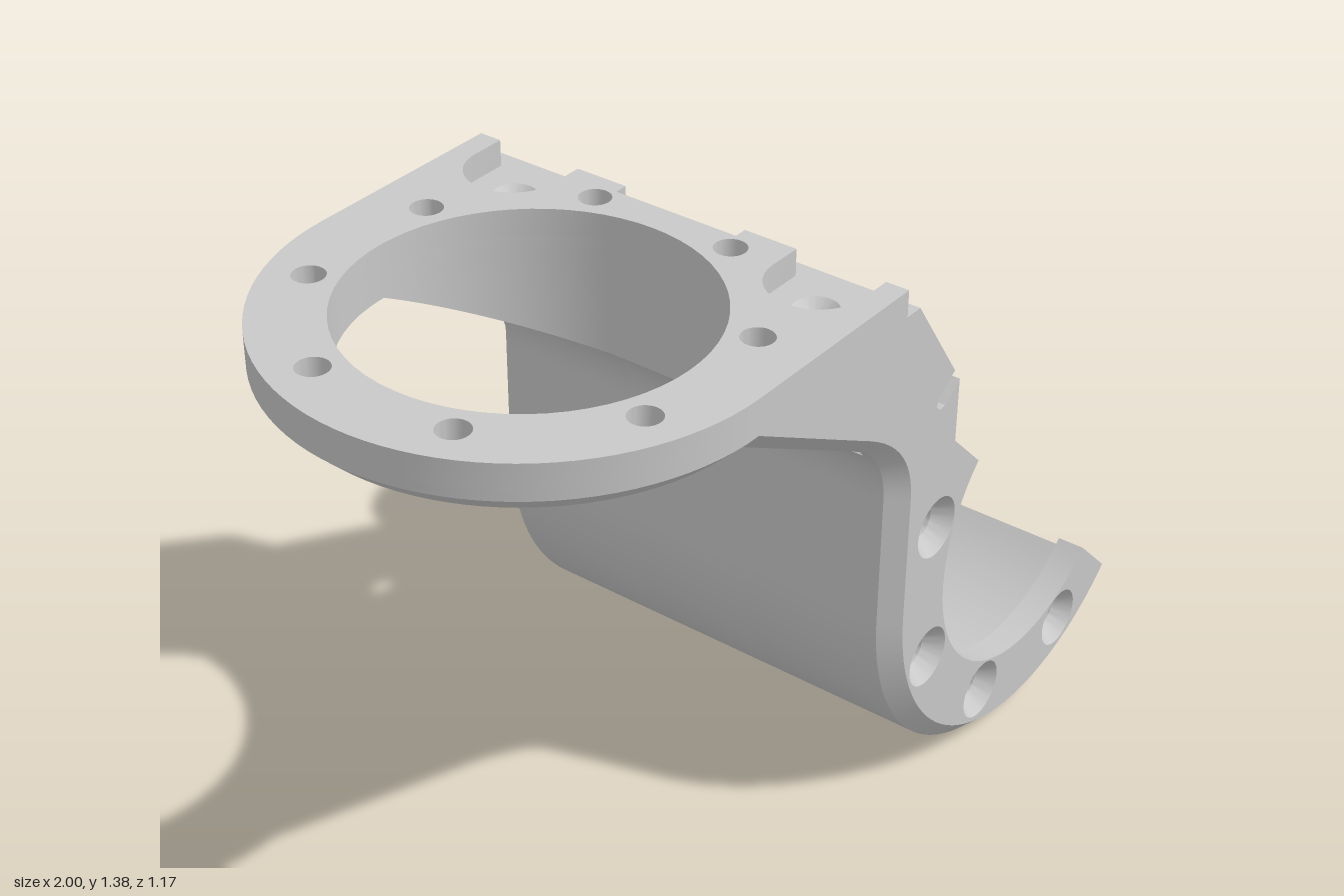
import * as THREE from 'three';
import { toCreasedNormals } from 'three/addons/utils/BufferGeometryUtils.js';

const V = (x, y) => new THREE.Vector2(x, y);
const CX = 0.6, CY = 0.565;           // axis of the curved cradle
const FX = -0.465, FZ = 0.047;        // centre of the ring flange
const HALF = 0.5375, BORE = 0.38;     // half depth of the part, radius of the flange bore
const XG = -0.1, XN = -0.01;          // end of the gussets, back of the cable notch

// Points on an arc, angles in degrees
function arc(x, y, r, a0, a1, n = 40) {
  return Array.from({ length: n + 1 }, (_, i) => {
    const a = THREE.MathUtils.degToRad(a0 + (a1 - a0) * i / n);
    return V(x + r * Math.cos(a), y + r * Math.sin(a));
  });
}
const circle = (x, y, r, n = 32) => arc(x, y, r, 0, -360, n).slice(0, n);

function finish(pos) {
  const g = new THREE.BufferGeometry();
  g.setAttribute('position', new THREE.Float32BufferAttribute(pos, 3));
  return toCreasedNormals(g, 0.5);
}

// Solid lofted through stations of matching outlines and holes, from low z to high z;
// a station's z may be a function of the point, for a sloping end
function loft(stations) {
  const pos = [];
  const put = (p, z) => pos.push(p.x, p.y, typeof z === 'function' ? z(p) : z);
  const cap = (s, flip) => {
    const all = [s.outer, ...s.holes].flat();
    for (const f of THREE.ShapeUtils.triangulateShape(s.outer.slice(), s.holes.map(h => h.slice())))
      for (const i of flip ? [f[0], f[2], f[1]] : f) put(all[i], s.z);
  };
  cap(stations[0], true);
  cap(stations[stations.length - 1], false);
  for (let k = 0; k + 1 < stations.length; k++) {
    const lo = stations[k], hi = stations[k + 1];
    const loopsLo = [lo.outer, ...lo.holes], loopsHi = [hi.outer, ...hi.holes];
    loopsLo.forEach((L, j) => {
      const H = loopsHi[j];
      for (let i = 0; i < L.length; i++) {
        const n = (i + 1) % L.length;
        put(L[i], lo.z); put(L[n], lo.z); put(H[n], hi.z);
        put(L[i], lo.z); put(H[n], hi.z); put(H[i], hi.z);
      }
    });
  }
  return finish(pos);
}

// Outer underside contour from the flange down the back and round the cradle
function contour(inset) {
  const x = 0.035 + inset;
  const bend = new THREE.QuadraticBezierCurve(V(-0.085, 1.055 + inset), V(x, 0.99 + inset * 0.4), V(x, 0.87));
  return [V(XG, 1.064 + inset), ...bend.getPoints(12), ...arc(CX, CY, 0.565 - inset, 180, 315)];
}

export function createModel() {
  const model = new THREE.Group();
  const grey = new THREE.MeshStandardMaterial({ color: 0xc8c8c8 });
  grey.name = 'lightGrey';
  const add = (name, geo) => {
    const m = new THREE.Mesh(geo, grey);
    m.name = name;
    model.add(m);
    return m;
  };
  const zf = FZ + HALF, zb = FZ - HALF, ch = 0.04;

  // Front cheek with a chamfered rim and countersunk screw holes
  const frontTop = [V(0.235, 0.93), V(0.235, 1.08), V(0.185, 1.042), V(0.165, 1.04), V(0.153, 1.052),
    V(0.157, 1.07), V(0.214, 1.11), V(0.065, 1.325), V(XG, 1.325)];
  const frontScrews = [[0.185, 0.74], [0.185, 0.4], [0.43, 0.155], [0.77, 0.155]];
  const front = (z, inset, r) => ({
    z, outer: [...contour(inset), ...arc(CX, CY, 0.37, -45, -225), ...frontTop],
    holes: frontScrews.map(([x, y]) => circle(x, y, r)),
  });
  add('frontCheek', loft([front(0.52, 0, 0.04), front(zf - ch, 0, 0.04), front(zf, ch, 0.07)]));

  // Back cheek carrying the pivot disc
  const backTop = [V(0.235, 0.93), V(0.235, 1.08), V(0.065, 1.325), V(XG, 1.325)];
  const backScrews = [[0.18, 0.565], [0.55, 0.12]];
  const back = (z, inset, r) => ({
    z, outer: [...contour(inset), ...arc(CX, CY, 0.235, -45, 135), ...backTop],
    holes: backScrews.map(([x, y]) => circle(x, y, r)),
  });
  add('backCheek', loft([back(zb, ch, 0.07), back(zb + ch, 0, 0.035), back(-0.435, 0, 0.035)]));

  // Curved shell between the cheeks, lowered in the middle for the cable notch
  const shellBack = [V(XN, 0.996), ...contour(0).filter(p => p.x > XN)];
  const cavity = [...arc(CX, CY, 0.5, -45, -180), V(0.1, 0.905), V(0.065, 0.955)];
  [[-0.435, -0.103, 1.325], [-0.103, 0.197, 1.262], [0.197, 0.52, 1.325]].forEach(([z0, z1, top]) => {
    const outer = [...shellBack, ...cavity, V(0.065, top), V(XN, top)];
    add('cradleShell', loft([{ z: z0, outer, holes: [] }, { z: z1, outer, holes: [] }]));
  });

  // Pivot boss with a blind recess
  const boss = [[0.235, 0.488], [0.235, 0.5], [0.213, 0.5], [0.213, 0.575], [0.2, 0.588], [0.152, 0.588],
    [0.135, 0.573], [0.135, 0.5], [0, 0.5]].map(([r, h]) => V(r, h));
  const bossGeo = toCreasedNormals(new THREE.LatheGeometry(boss, 64), 0.5);
  bossGeo.rotateX(-Math.PI / 2);
  add('pivotBoss', bossGeo).position.set(CX, CY, 0);

  // Ring flange, drawn in plan with s = -z and lofted upwards
  const S = -FZ;
  const bolts = Array.from({ length: 8 }, (_, k) => {
    const a = (k + 0.5) * Math.PI / 4;
    return [FX + 0.444 * Math.cos(a), S + 0.444 * Math.sin(a)];
  });
  const bore = circle(FX, S, BORE, 64);
  const pockets = [S - 0.38, S + 0.38];
  const lower = (z, r, sink, screw) => ({
    z, outer: [V(XN, S - r), V(XN, S + r), ...arc(FX, S, r, 90, 270, 48)],
    holes: [bore, ...bolts.map(([x, s]) => circle(x, s, x > XG ? 0.035 : sink)),
      ...pockets.map(s => circle(-0.06, s, screw))],
  });
  const lowerFlange = loft([lower(1.265, HALF - ch, 0.048, 0.025), lower(1.305, HALF, 0.035, 0.025),
    lower(1.325, HALF, 0.035, 0.048)]);
  add('flangeBase', lowerFlange.rotateX(-Math.PI / 2));

  // Upper flange layer with two screw pockets and the cable notch
  const pocket = s => [V(0.02, s - 0.105), ...arc(-0.06, s, 0.105, 270, 90, 24), V(0.02, s + 0.105)];
  const upperOutline = [V(0.02, S - HALF), ...pocket(pockets[0]),
    V(0.02, -0.197), V(XN, -0.197), V(XN, 0.103), V(0.02, 0.103),
    ...pocket(pockets[1]), V(0.02, S + HALF), ...arc(FX, S, HALF, 90, 270, 48)];
  const upper = z => ({ z, outer: upperOutline, holes: [bore, ...bolts.map(([x, s]) => circle(x, s, 0.035))] });
  add('flangeTop', loft([upper(1.325), upper(1.385)]).rotateX(-Math.PI / 2));

  // Neck between flange and shell, pierced by the two inner bolt holes
  const boreAngle = THREE.MathUtils.radToDeg(Math.acos((XG - FX) / BORE));
  const neckOutline = [V(XN, -0.52), V(XN, 0.435), V(XG, 0.435),
    ...arc(FX, S, BORE, boreAngle, -boreAngle, 12), V(XG, -0.52)];
  const neck = z => ({
    z, outer: neckOutline, holes: [bolts[0], bolts[7]].map(([x, s]) => circle(x, s, 0.035)),
  });
  const neckGeo = loft([neck(p => 1.064 - 0.755 * (p.x - XG)), neck(1.265)]);
  add('neck', neckGeo.rotateX(-Math.PI / 2));

  // Sloping gussets under the flange, hollowed by the bore
  const endAngle = THREE.MathUtils.degToRad(boreAngle);
  for (const side of [1, -1]) {
    const N = 32, pos = [];
    const ring = i => {
      const a = THREE.MathUtils.lerp(Math.PI / 2, endAngle, i / N);
      const x = FX + BORE * Math.cos(a), zi = BORE * Math.sin(a), g = 1.265 - 0.5526 * (x - FX);
      return [[zi, 1.32], [zi, g], [HALF - ch, g], [HALF, g + ch], [HALF, 1.32]]
        .map(([z, y]) => [x, y, FZ + side * z]);
    };
    for (let i = 0; i < N; i++) {
      const A = ring(i), B = ring(i + 1);
      for (let j = 0; j < 4; j++) {
        const quad = [A[j], B[j], B[j + 1], A[j], B[j + 1], A[j + 1]];
        if (side < 0) quad.reverse();
        pos.push(...quad.flat());
      }
    }
    add(side > 0 ? 'frontGusset' : 'backGusset', finish(pos));
  }
  return model;
}
